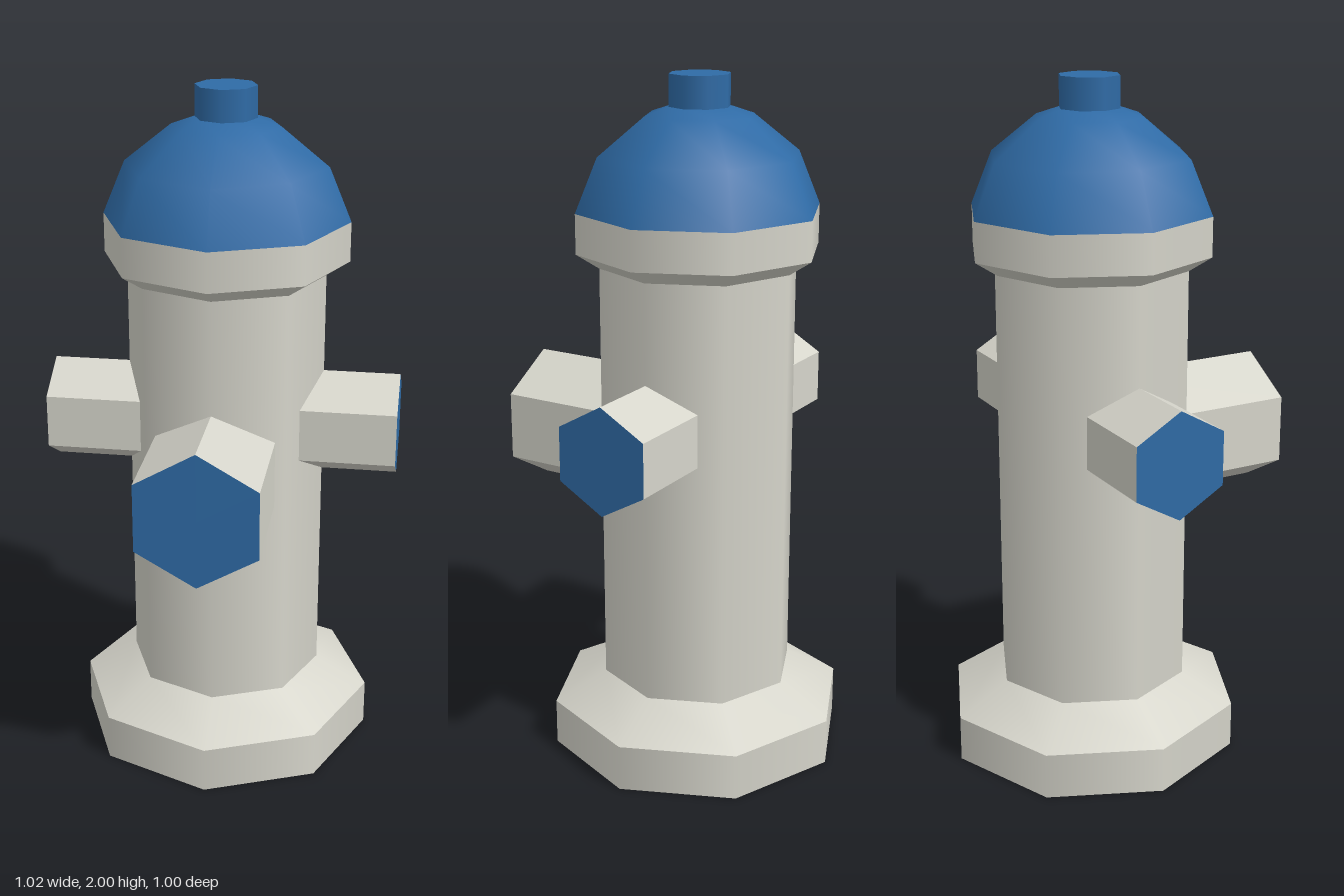
import * as THREE from 'three';

const SIDES = 8;
const AXIS_Z = -0.055; // the barrel stands slightly behind centre

export function createModel() {
  const stone = new THREE.MeshStandardMaterial({ color: 0xd6d5cb });
  stone.name = 'pale grey paint';
  const blue = new THREE.MeshStandardMaterial({ color: 0x2f6ba6 });
  blue.name = 'blue paint';

  const hydrant = new THREE.Group();
  hydrant.name = 'hydrant';

  // Turned part: smooth around the axis and along its own profile
  function turned(name, material, profile) {
    const points = profile.map(([r, y]) => new THREE.Vector2(r, y));
    const mesh = new THREE.Mesh(new THREE.LatheGeometry(points, SIDES), material);
    mesh.name = name;
    mesh.position.z = AXIS_Z;
    hydrant.add(mesh);
  }

  // Separate bands keep the edges between them sharp
  turned('baseUnderside', stone, [[0, 0], [0.443, 0]]);
  turned('baseRim', stone, [[0.443, 0], [0.443, 0.137]]);
  turned('baseSlope', stone, [[0.443, 0.137], [0.288, 0.223]]);
  turned('barrel', stone, [[0.288, 0.223], [0.288, 1.47]]);
  turned('collarSlope', stone, [[0.288, 1.47], [0.354, 1.513]]);
  turned('collarRim', stone, [[0.354, 1.513], [0.354, 1.627]]);
  turned('dome', blue, [[0.354, 1.627], [0.29, 1.78], [0.155, 1.888], [0.075, 1.915], [0, 1.915]]);
  turned('topNutSide', blue, [[0.088, 1.9], [0.088, 2]]);
  turned('topNutCap', blue, [[0.088, 2], [0, 2]]);

  // Hexagonal outlet pointing outwards, with a blue end face
  function outlet(name, radius, y, length, angle) {
    const geometry = new THREE.CylinderGeometry(radius, radius, length, 6)
      .translate(0, length / 2, 0)
      .rotateX(Math.PI / 2)
      .rotateY(angle)
      .toNonIndexed();
    geometry.computeVertexNormals();
    const mesh = new THREE.Mesh(geometry, [stone, blue, stone]);
    mesh.name = name;
    mesh.position.set(0, y, AXIS_Z);
    hydrant.add(mesh);
  }

  outlet('frontOutlet', 0.199, 0.937, 0.5 - AXIS_Z, 0);
  outlet('leftOutlet', 0.155, 1.027, 0.51, Math.PI / 2);
  outlet('rightOutlet', 0.155, 1.027, 0.51, -Math.PI / 2);

  return hydrant;
}
